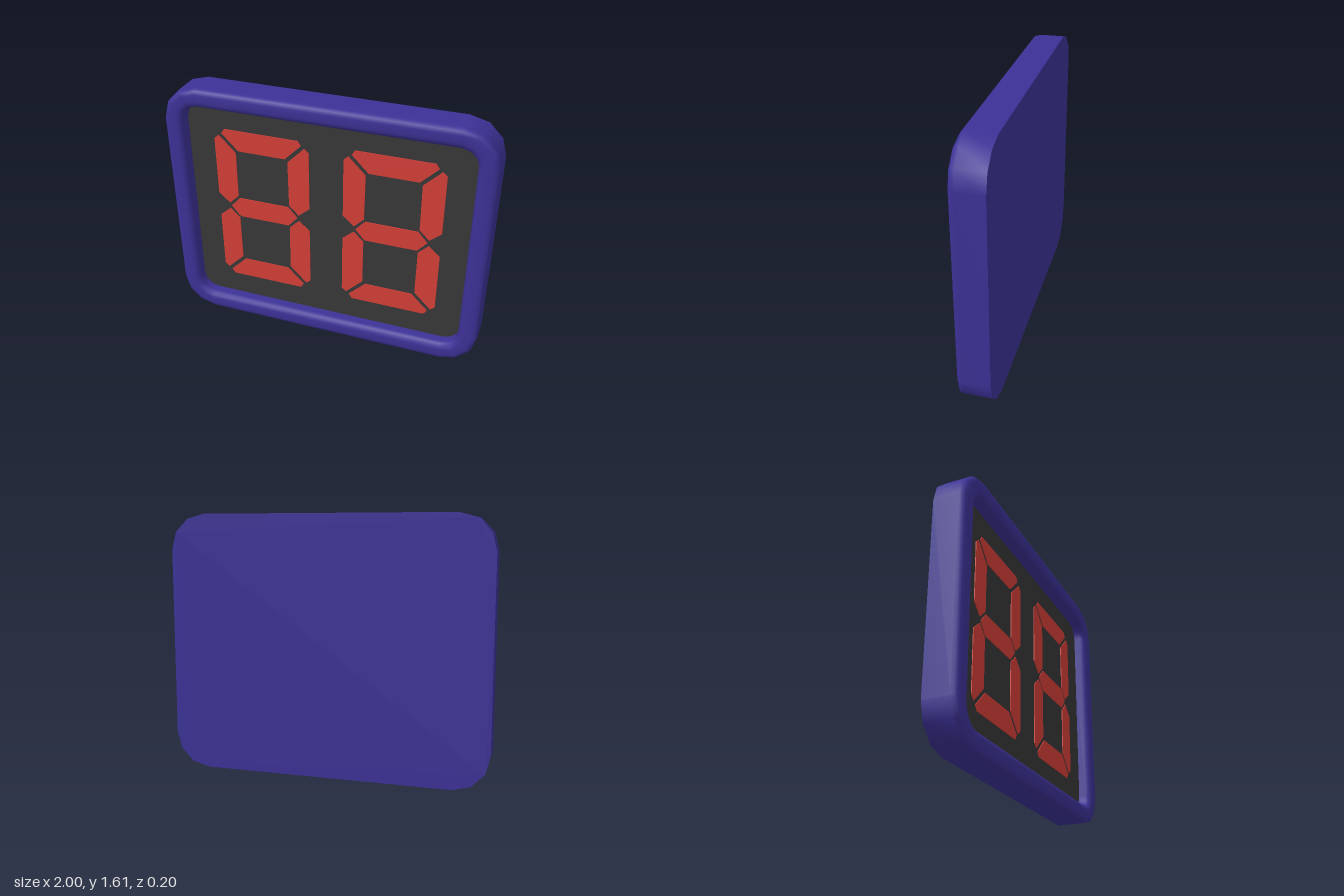
import * as THREE from 'three';

const H = 1.61, CY = H / 2, RIM = 0.12;

const material = (name, color, side = THREE.FrontSide) => {
  const m = new THREE.MeshStandardMaterial({ color, side });
  m.name = name;
  return m;
};

// Rounded rectangle with three-sided corners, counter-clockwise, shrunk by inset
function outline(inset) {
  const r = 0.22 - inset, pts = [];
  [[1, 1], [-1, 1], [-1, -1], [1, -1]].forEach(([sx, sy], q) => {
    for (let k = 0; k <= 3; k++) {
      const a = (q + k / 3) * Math.PI / 2;
      pts.push(new THREE.Vector2(sx * 0.78 + r * Math.cos(a), sy * (CY - 0.22) + r * Math.sin(a)));
    }
  });
  return pts;
}

// Sweep an [inset, z] profile round the outline
function rimGeometry(profile) {
  const pos = [], index = [], n = 16;
  profile.forEach(([inset, z]) => outline(inset).forEach((p) => pos.push(p.x, p.y, z)));
  for (let j = 0; j < profile.length - 1; j++) {
    for (let i = 0; i < n; i++) {
      const a = j * n + i, b = j * n + (i + 1) % n;
      index.push(a, b, b + n, a, b + n, a + n);
    }
  }
  const g = new THREE.BufferGeometry();
  g.setAttribute('position', new THREE.Float32BufferAttribute(pos, 3));
  g.setIndex(index);
  g.computeVertexNormals();
  return g;
}

const plate = (pts, depth) => new THREE.ExtrudeGeometry(
  new THREE.Shape(pts), { depth, bevelEnabled: false });

export function createModel() {
  const model = new THREE.Group();
  model.name = 'scoreDisplay';
  const casing = material('casing blue', 0x3c3196);
  const dark = material('screen grey', 0x373737);
  const red = material('segment red', 0xd23f38);

  const add = (name, geometry, mat, x, y, z, parent = model) => {
    const mesh = new THREE.Mesh(geometry, mat);
    mesh.name = name;
    mesh.position.set(x, y, z);
    parent.add(mesh);
  };

  // Casing: rounded rim and flat back
  add('rim', rimGeometry([
    [0, -0.1], [0, 0.06], [0.004, 0.078], [0.014, 0.092], [0.035, 0.1],
    [0.08, 0.1], [0.1, 0.093], [0.114, 0.08], [0.12, 0.06], [0.12, 0],
  ]), casing, 0, CY, 0);
  const back = new THREE.ShapeGeometry(new THREE.Shape(outline(0)));
  back.rotateY(Math.PI);
  add('backPanel', back, casing, 0, CY, -0.1);

  // Recessed screen
  add('screen', plate(outline(RIM), 0.015), dark, 0, CY, 0);

  // Seven-segment digits, each segment defined about the digit centre
  const top = [[0.255, 0.505], [0.235, 0.535], [-0.235, 0.535], [-0.255, 0.505], [-0.15, 0.4], [0.15, 0.4]];
  const side = [[0.303, 0.465], [0.275, 0.49], [0.168, 0.383], [0.17, 0.082], [0.232, 0.02], [0.303, 0.082]];
  const middle = [[0.222, 0], [0.163, 0.067], [-0.163, 0.067], [-0.222, 0], [-0.163, -0.067], [0.163, -0.067]];
  const segments = [
    ['topSegment', top, 1, 1], ['bottomSegment', top, 1, -1], ['middleSegment', middle, 1, 1],
    ['upperLeftSegment', side, 1, 1], ['upperRightSegment', side, -1, 1],
    ['lowerLeftSegment', side, 1, -1], ['lowerRightSegment', side, -1, -1],
  ];
  for (const s of [-1, 1]) {
    const digit = new THREE.Group();
    digit.name = s > 0 ? 'leftDigit' : 'rightDigit';
    digit.position.set(s * 0.41, 0.808, 0.014);
    for (const [name, pts, mx, my] of segments) {
      const shape = pts.map(([x, y]) => new THREE.Vector2(x * mx, y * my));
      add(name, plate(shape, 0.006), red, 0, 0, 0, digit);
    }
    model.add(digit);
  }
  return model;
}
